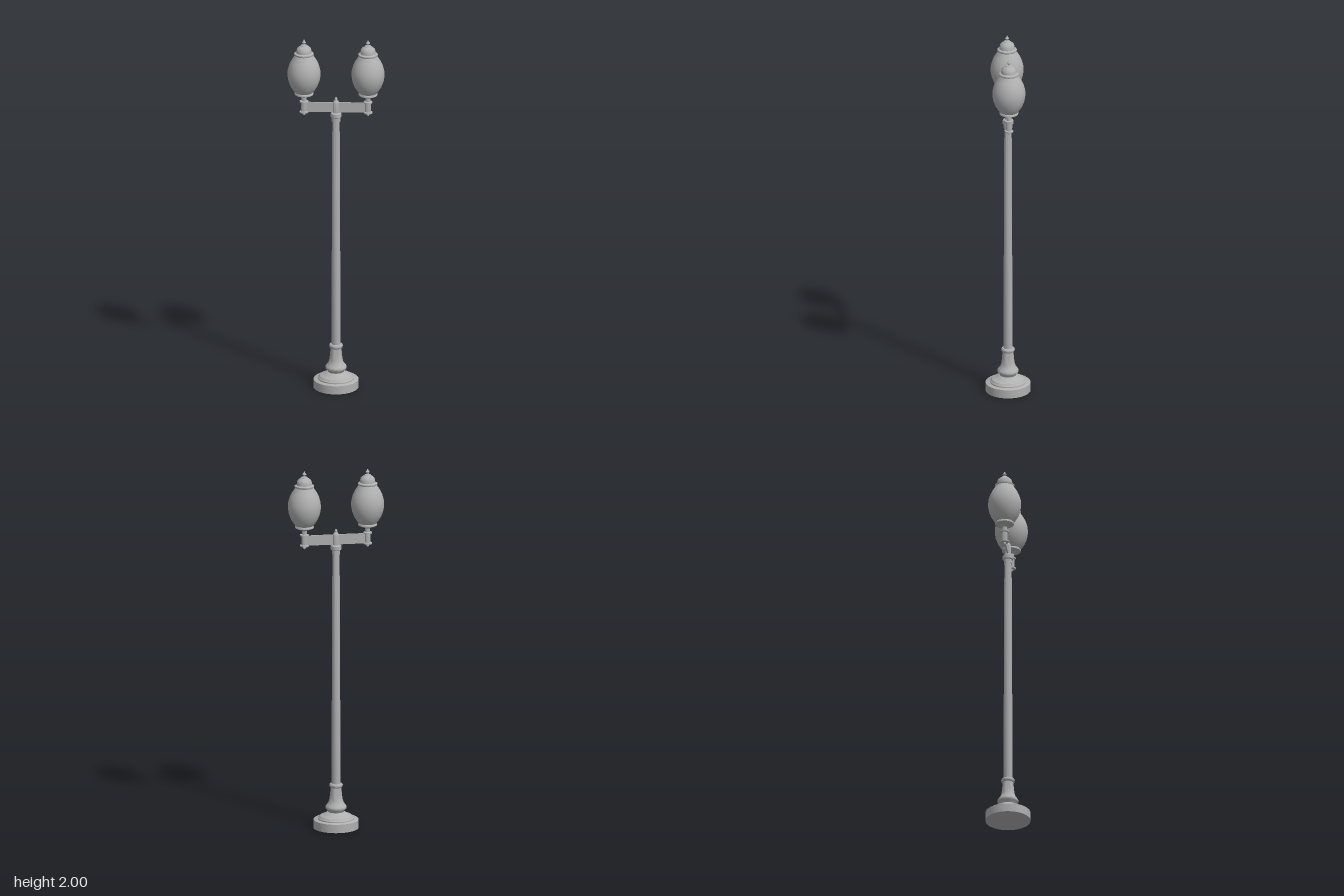
import * as THREE from 'three';
import { toCreasedNormals } from 'three/addons/utils/BufferGeometryUtils.js';

const metal = new THREE.MeshStandardMaterial({ color: 0xb0b0b0 });
metal.name = 'grey';

// Turned part from [radius, height] pairs, listed bottom to top
function turned(name, profile, sides, crease = 0.7) {
  const points = profile.map(([r, y]) => new THREE.Vector2(r, y));
  const geometry = toCreasedNormals(new THREE.LatheGeometry(points, sides), crease);
  const mesh = new THREE.Mesh(geometry, metal);
  mesh.name = name;
  return mesh;
}

// One lantern with its holder, centred on its own axis
function createLantern() {
  const lantern = new THREE.Group();
  lantern.add(
    turned('lanternHolder', [
      [0, 1.563], [0.006, 1.566], [0.008, 1.573], [0.006, 1.578],
      [0.024, 1.58], [0.024, 1.587], [0.016, 1.589], [0.016, 1.637],
      [0.024, 1.639], [0.024, 1.646], [0.013, 1.648], [0.013, 1.668],
      [0.022, 1.676], [0.03, 1.682], [0, 1.682],
    ], 12),
    turned('globeSeat', [
      [0, 1.68], [0.042, 1.68], [0.051, 1.685], [0.051, 1.693],
      [0.046, 1.699], [0, 1.699],
    ], 24),
    turned('globe', [
      [0.046, 1.695], [0.06, 1.712], [0.074, 1.735], [0.085, 1.765],
      [0.09, 1.797], [0.088, 1.825], [0.08, 1.855], [0.068, 1.88],
      [0.055, 1.9], [0.048, 1.913],
    ], 28, 1),
    turned('lanternCap', [
      [0.048, 1.908], [0.053, 1.914], [0.053, 1.92], [0.042, 1.925],
      [0.041, 1.938], [0.037, 1.95], [0.028, 1.958], [0.021, 1.963], [0, 1.965],
    ], 20),
    turned('lanternFinial', [
      [0.022, 1.96], [0.018, 1.967], [0.007, 1.971], [0.006, 1.976],
      [0.011, 1.981], [0.011, 1.985], [0.005, 1.991], [0.003, 1.997], [0, 2],
    ], 8),
  );
  return lantern;
}

export function createModel() {
  const model = new THREE.Group();
  model.name = 'streetLamp';

  // Base and pole
  model.add(
    turned('basePlinth', [[0, 0], [0.122, 0], [0.122, 0.047], [0.118, 0.05], [0, 0.05]], 36),
    turned('baseMoulding', [
      [0.098, 0.048], [0.098, 0.056], [0.09, 0.062], [0.088, 0.067],
      [0.073, 0.074], [0.057, 0.081], [0.047, 0.09], [0, 0.092],
    ], 28),
    turned('pedestal', [
      [0.042, 0.085], [0.047, 0.098], [0.057, 0.108], [0.058, 0.118],
      [0.052, 0.128], [0.042, 0.14], [0.036, 0.16], [0.032, 0.19],
      [0.03, 0.225], [0.036, 0.231], [0.037, 0.241], [0.033, 0.247], [0, 0.249],
    ], 20),
    turned('pole', [[0.024, 0.24], [0.0235, 0.65], [0.02, 1.54]], 12),
    turned('poleCollar', [
      [0, 1.53], [0.023, 1.53], [0.023, 1.552], [0.029, 1.556],
      [0.029, 1.577], [0.024, 1.582], [0, 1.582],
    ], 16),
    turned('centrePost', [
      [0.017, 1.58], [0.017, 1.638], [0.013, 1.648], [0.007, 1.652],
      [0.008, 1.66], [0.005, 1.667], [0, 1.671],
    ], 10),
  );

  // Flat cross arm
  const arm = new THREE.Mesh(new THREE.BoxGeometry(0.346, 0.056, 0.007), metal);
  arm.name = 'crossArm';
  arm.position.y = 1.612;
  model.add(arm);

  // Matching lanterns at both ends
  for (const side of [1, -1]) {
    const lantern = createLantern();
    lantern.name = side > 0 ? 'leftLantern' : 'rightLantern';
    lantern.position.x = side * 0.173;
    model.add(lantern);
  }
  return model;
}
